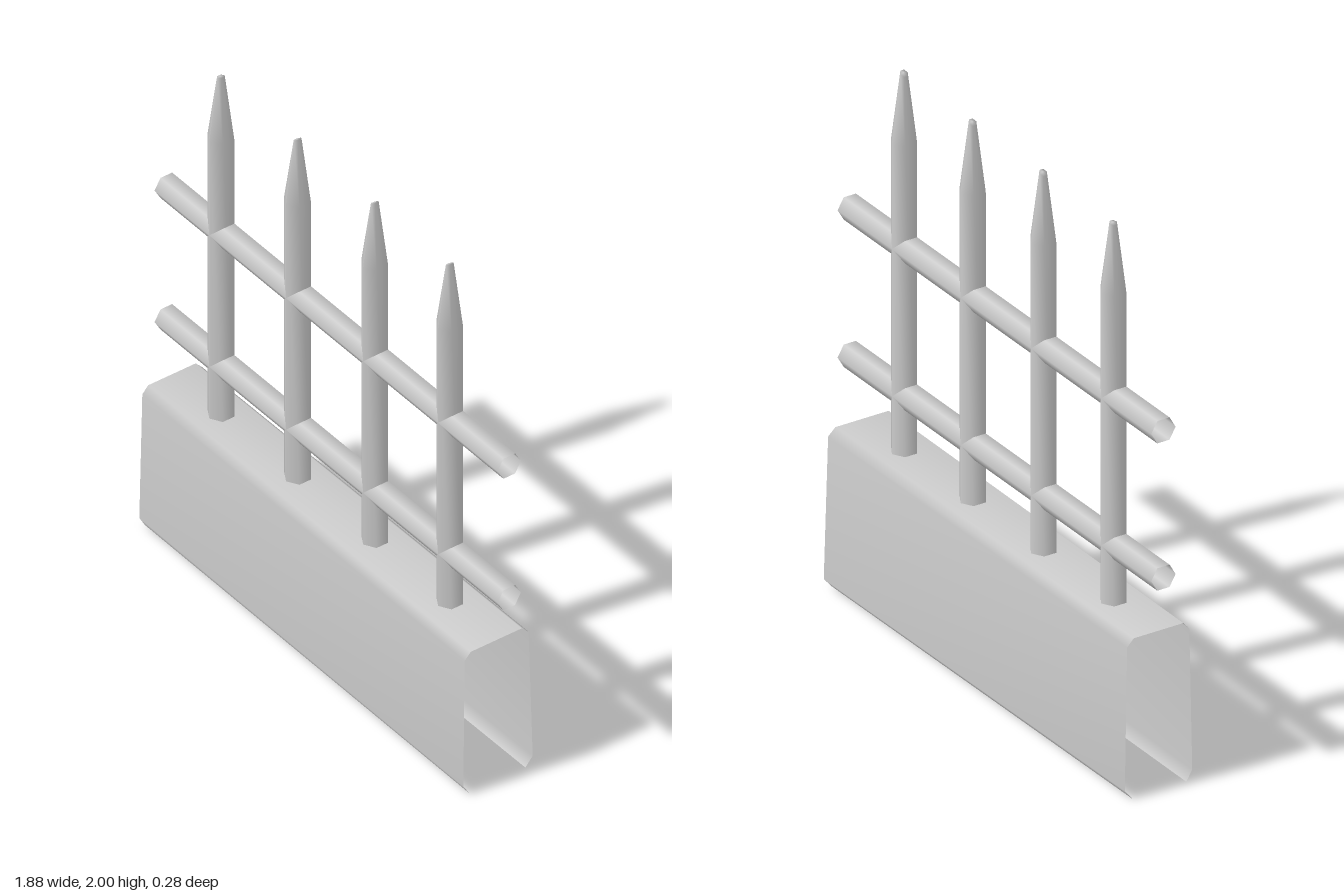
import * as THREE from 'three';

const material = new THREE.MeshStandardMaterial({ color: 0xcccccc, side: THREE.DoubleSide });

// Thin channel-shaped wall: folded top, slightly leaning sides, inward bottom lips, open ends
function wallGeometry() {
  const profile = [ // [z, y] from front lip over the top to back lip
    [0.115, 0], [0.14, 0.04], [0.135, 0.56], [0.11, 0.587],
    [-0.1, 0.587], [-0.128, 0.56], [-0.145, 0.035], [-0.115, 0],
  ];
  const positions = [], index = [];
  profile.forEach(([z, y], i) => {
    positions.push(-0.915 + 0.02 * y, y, z * 0.93); // the wall narrows a little towards -x
    positions.push(0.875, y, z);
    if (i > 0) {
      const a = 2 * (i - 1);
      index.push(a, a + 1, a + 3, a, a + 3, a + 2);
    }
  });
  const geometry = new THREE.BufferGeometry();
  geometry.setAttribute('position', new THREE.Float32BufferAttribute(positions, 3));
  geometry.setIndex(index);
  geometry.computeVertexNormals();
  return geometry;
}

// Six-sided picket with a long taper and a small, slightly slanted tip
function picketGeometry(slant) {
  const profile = [[0.048, 0.58], [0.048, 1.74], [0.014, 1.99], [0, 1.993]]
    .map(([r, y]) => new THREE.Vector2(r, y));
  const geometry = new THREE.LatheGeometry(profile, 6);
  const p = geometry.attributes.position;
  for (let i = 0; i < p.count; i++) {
    if (p.getY(i) > 1.9) p.setY(i, p.getY(i) + p.getX(i) * slant);
  }
  geometry.computeVertexNormals();
  return geometry;
}

export function createModel() {
  const group = new THREE.Group();
  const add = (name, geometry, x = 0, y = 0) => {
    const mesh = new THREE.Mesh(geometry, material);
    mesh.name = name;
    mesh.position.set(x, y, 0);
    group.add(mesh);
    return mesh;
  };

  add('baseWall', wallGeometry());

  // Pickets
  const slants = [0.3, 0.6, 0.6, 0.6];
  [-0.64, -0.22, 0.203, 0.614].forEach((x, i) => add('picket' + (i + 1), picketGeometry(slants[i]), x));

  // Open-ended six-sided rails
  [['lowerRail', 0.802], ['upperRail', 1.35]].forEach(([name, y]) => {
    const rail = new THREE.CylinderGeometry(0.048, 0.048, 1.88, 6, 1, true).rotateZ(Math.PI / 2);
    add(name, rail, 0, y);
  });

  return group;
}
